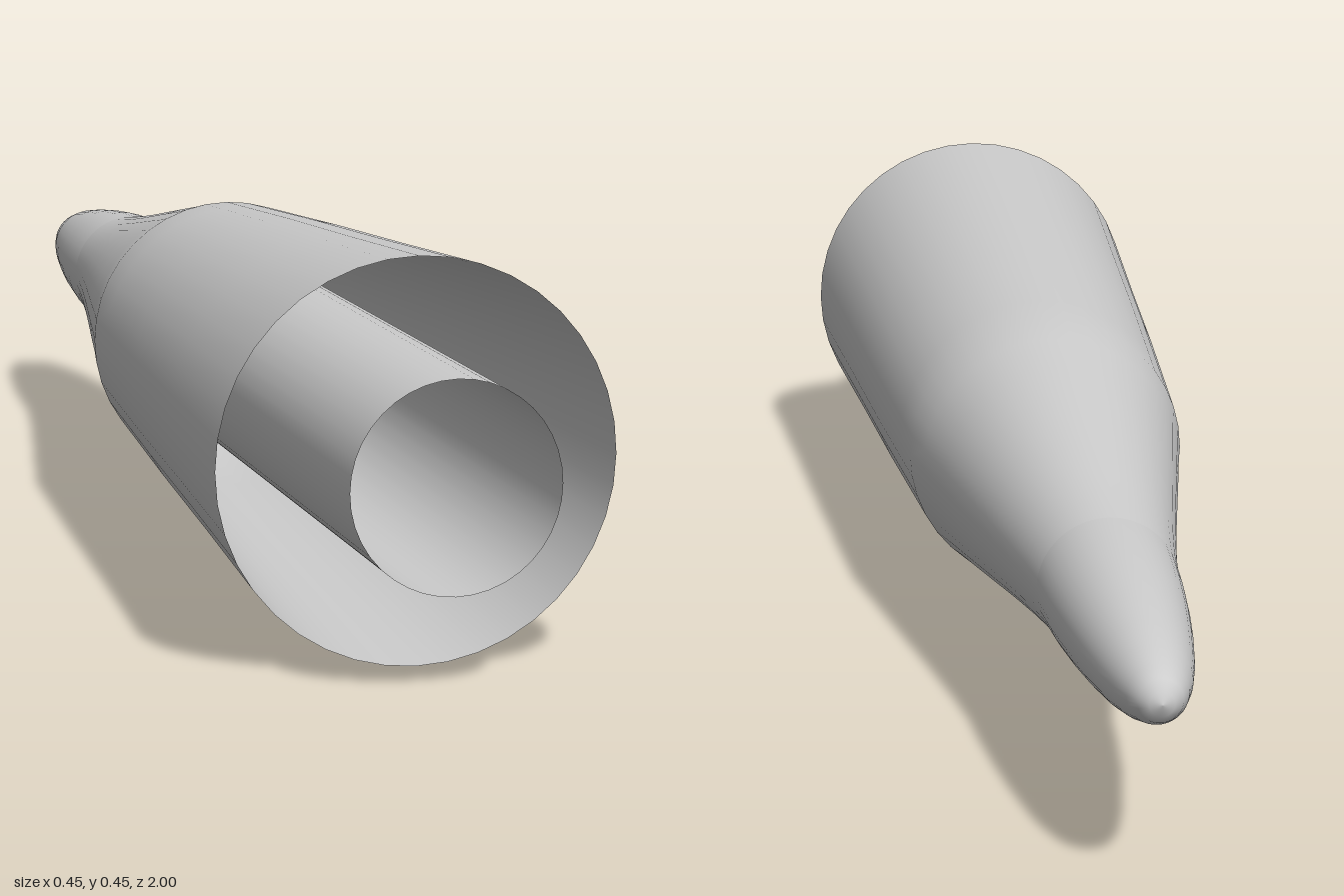
import * as THREE from 'three';

const AXIS_Y = 0.227;
const SEGMENTS = 40;

// Surface of revolution around the z axis, from [radius, z] pairs running back to front
function revolve(name, profile) {
  const points = profile.map(([r, z]) => new THREE.Vector2(r, z));
  const geometry = new THREE.LatheGeometry(points, SEGMENTS);
  geometry.rotateX(Math.PI / 2);
  const material = new THREE.MeshStandardMaterial({ color: 0xcccccc, side: THREE.DoubleSide });
  const mesh = new THREE.Mesh(geometry, material);
  mesh.name = name;
  mesh.position.y = AXIS_Y;
  return mesh;
}

export function createModel() {
  const model = new THREE.Group();
  model.name = 'taperedProjectile';

  // Rounded tip
  model.add(revolve('noseTip', [
    [0, -1], [0.014, -0.996], [0.025, -0.985], [0.034, -0.965], [0.044, -0.93],
    [0.054, -0.88], [0.064, -0.81], [0.072, -0.74], [0.079, -0.66], [0.083, -0.59],
  ]));

  // Thin flaring shell, open at the front
  model.add(revolve('outerShell', [
    [0.083, -0.59], [0.089, -0.54], [0.099, -0.47], [0.115, -0.37], [0.132, -0.27],
    [0.149, -0.17], [0.164, -0.08], [0.175, -0.02], [0.18, 0.06],
    [0.195, 0.3], [0.21, 0.57], [0.227, 0.855],
  ]));

  // Open tube seated inside the shell and projecting from its mouth
  model.add(revolve('innerTube', [[0.117, -0.35], [0.117, 1]]));

  return model;
}
